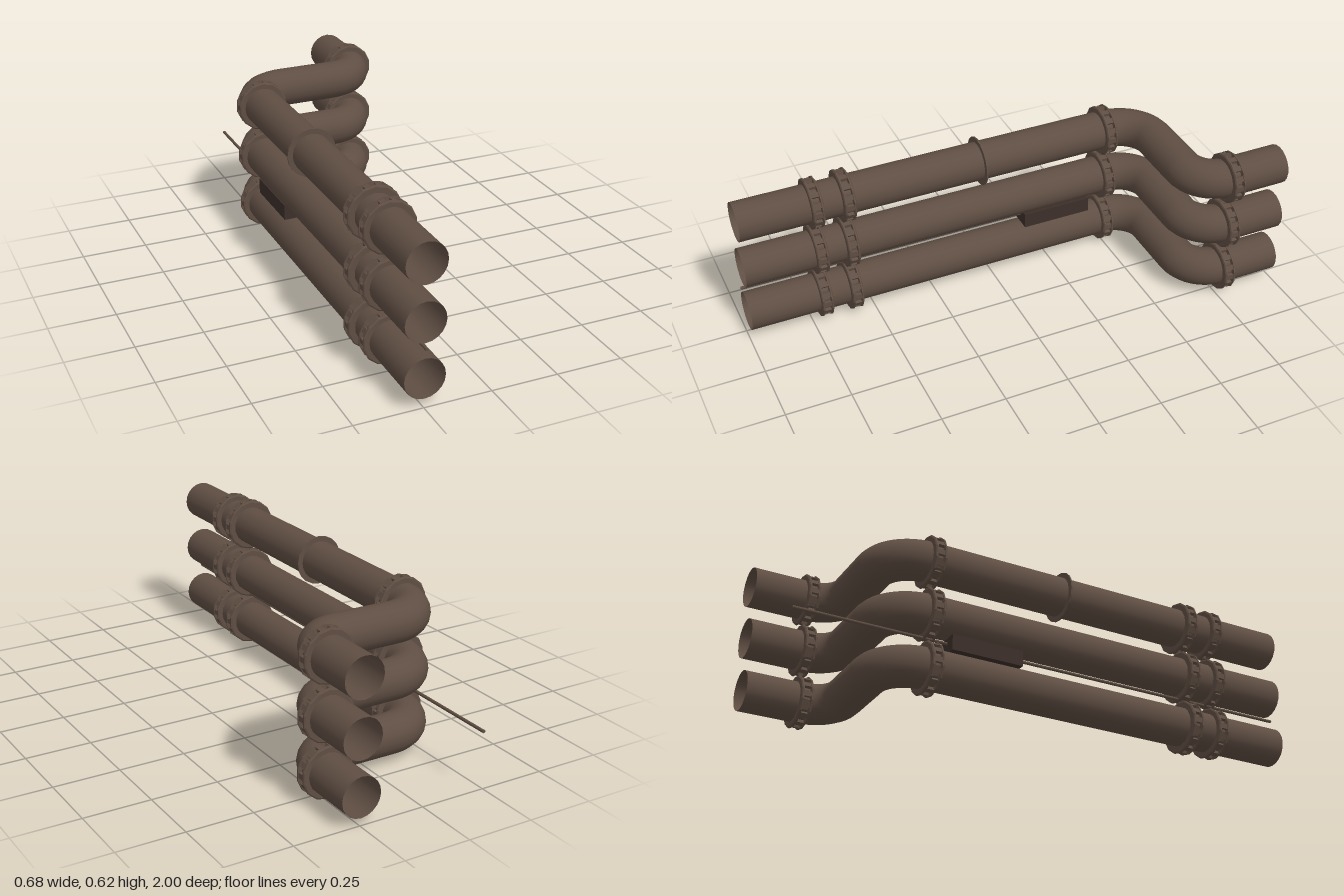
import * as THREE from 'three';

export function createModel() {
  const model = new THREE.Group();
  model.name = 'pipeRack';
  const pipeBrown = new THREE.MeshStandardMaterial({ color: 0x5f4e43, side: THREE.DoubleSide });
  pipeBrown.name = 'pipe brown';
  const darkBrown = new THREE.MeshStandardMaterial({ color: 0x3c2f29 });
  darkBrown.name = 'dark brown';

  const LX = -0.242, RX = 0.245, R = 0.075;
  const add = (parent, name, geo, mat, x = 0, y = 0, z = 0) => {
    const m = new THREE.Mesh(geo, mat);
    m.name = name;
    m.position.set(x, y, z);
    parent.add(m);
    return m;
  };

  // Pipe path: two straight runs joined by an S-shaped offset, seen from above
  const v = (x, z) => new THREE.Vector3(x, 0, z);
  const K = 0.448; // handle length left over for a quarter circle
  const line = (a, b) => new THREE.LineCurve3(a, b);
  const bend = (a, corner, b) => new THREE.CubicBezierCurve3(
    a, corner.clone().lerp(a, K), corner.clone().lerp(b, K), b);
  const path = new THREE.CurvePath();
  const p = [v(LX, 0.99), v(LX, -0.51), v(-0.1, -0.655), v(0.125, -0.655), v(RX, -0.775), v(RX, -1)];
  path.add(line(p[0], p[1]));
  path.add(bend(p[1], v(LX, -0.655), p[2]));
  path.add(line(p[2], p[3]));
  path.add(bend(p[3], v(RX, -0.655), p[4]));
  path.add(line(p[4], p[5]));
  const pipeGeo = new THREE.TubeGeometry(path, 120, R, 20, false);

  // Ring with a flat-sided profile of [radius, z] corners around the pipe axis
  const ring = (profile, sides) => {
    const pts = [...profile, profile[0]].map(([r, z]) => new THREE.Vector2(r, z));
    const g = new THREE.LatheGeometry(pts, sides).rotateX(Math.PI / 2).toNonIndexed();
    g.computeVertexNormals();
    return g;
  };
  const clampGeo = ring([
    [0.073, -0.023], [0.093, -0.023], [0.098, -0.02], [0.098, -0.014], [0.083, -0.012],
    [0.083, 0.012], [0.098, 0.014], [0.098, 0.02], [0.093, 0.023], [0.073, 0.023]], 14);
  const seamGeo = ring([[0.073, -0.003], [0.095, -0.003], [0.095, 0.003], [0.073, 0.003]], 20);
  const boltGeo = new THREE.BoxGeometry(0.02, 0.012, 0.03);

  // Bolted coupling: two flanges, a drum and bolts between them
  const coupling = (x, y, z, scale) => {
    const g = new THREE.Group();
    g.name = 'coupling';
    add(g, 'flanges', clampGeo, pipeBrown);
    for (let i = 0; i < 14; i++) {
      const a = (i + 0.5) / 14 * Math.PI * 2;
      const b = add(g, 'bolt', boltGeo, pipeBrown, Math.sin(a) * 0.087, Math.cos(a) * 0.087, 0);
      b.rotation.z = Math.PI / 2 - a;
      b.rotation.z += Math.PI / 2;
    }
    g.position.set(x, y, z);
    g.scale.set(scale, scale, 1);
    model.add(g);
  };

  for (const y of [0.103, 0.31, 0.52]) {
    add(model, 'pipe', pipeGeo, pipeBrown, 0, y, 0);
    coupling(LX, y, 0.697, 1);
    coupling(LX, y, 0.577, 1.04);
    coupling(LX, y, -0.5, 1);
    coupling(RX, y, -0.78, 1);
  }

  // Thin seam collar on the upper pipe
  add(model, 'seamCollar', seamGeo, pipeBrown, LX, 0.52, 0.033);

  // Straight rod running between the lower two pipes, with its dark bracket
  add(model, 'rod', new THREE.CylinderGeometry(0.006, 0.006, 2, 8).rotateX(Math.PI / 2),
    pipeBrown, LX, 0.217, 0);
  add(model, 'bracket', new THREE.BoxGeometry(0.09, 0.06, 0.28), darkBrown, LX, 0.207, -0.287);
  return model;
}
